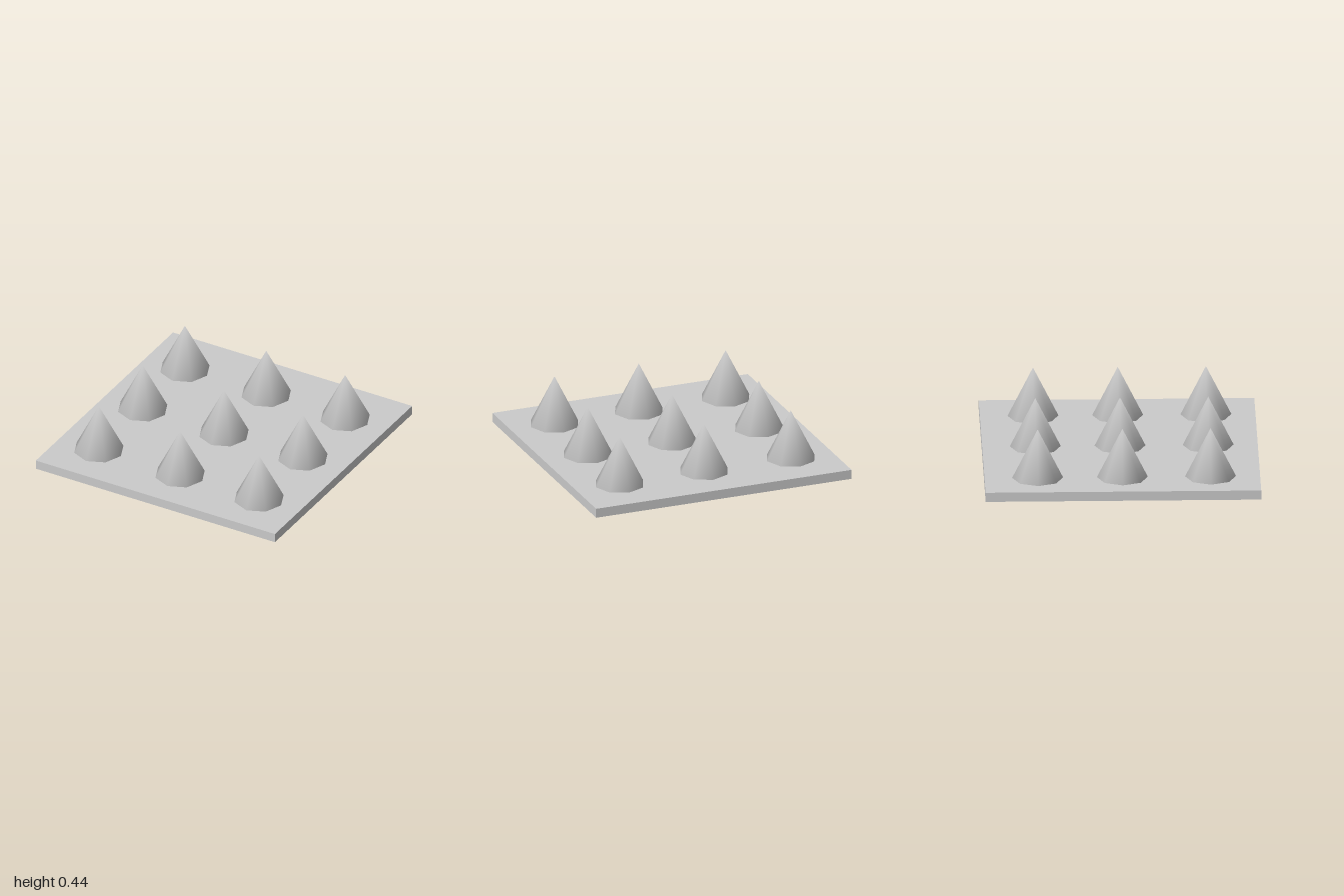
import * as THREE from 'three';
import { mergeVertices } from 'three/addons/utils/BufferGeometryUtils.js';

const PLATE_HEIGHT = 0.07;
const SPIKE_HEIGHT = 0.37;
const SPIKE_RADIUS = 0.185;

// Eight-sided cone with normals shared across all its edges
function spikeGeometry() {
  const cone = new THREE.ConeGeometry(SPIKE_RADIUS, SPIKE_HEIGHT, 8);
  cone.deleteAttribute('normal');
  cone.deleteAttribute('uv');
  const smooth = mergeVertices(cone);
  smooth.computeVertexNormals();
  return smooth;
}

export function createModel() {
  const model = new THREE.Group();
  model.name = 'spikePlate';
  const material = new THREE.MeshStandardMaterial({ color: 0xcccccc });

  // Flat square base
  const plate = new THREE.Mesh(new THREE.BoxGeometry(2, PLATE_HEIGHT, 2), material);
  plate.name = 'basePlate';
  plate.position.y = PLATE_HEIGHT / 2;
  model.add(plate);

  // Three by three grid of spikes, slightly uneven in spacing
  const spikes = new THREE.Group();
  spikes.name = 'spikes';
  const geometry = spikeGeometry();
  for (const x of [-0.68, 0, 0.66]) {
    for (const z of [-0.615, 0, 0.64]) {
      const spike = new THREE.Mesh(geometry, material);
      spike.name = 'spike';
      spike.position.set(x, PLATE_HEIGHT + SPIKE_HEIGHT / 2, z);
      spikes.add(spike);
    }
  }
  model.add(spikes);
  return model;
}
